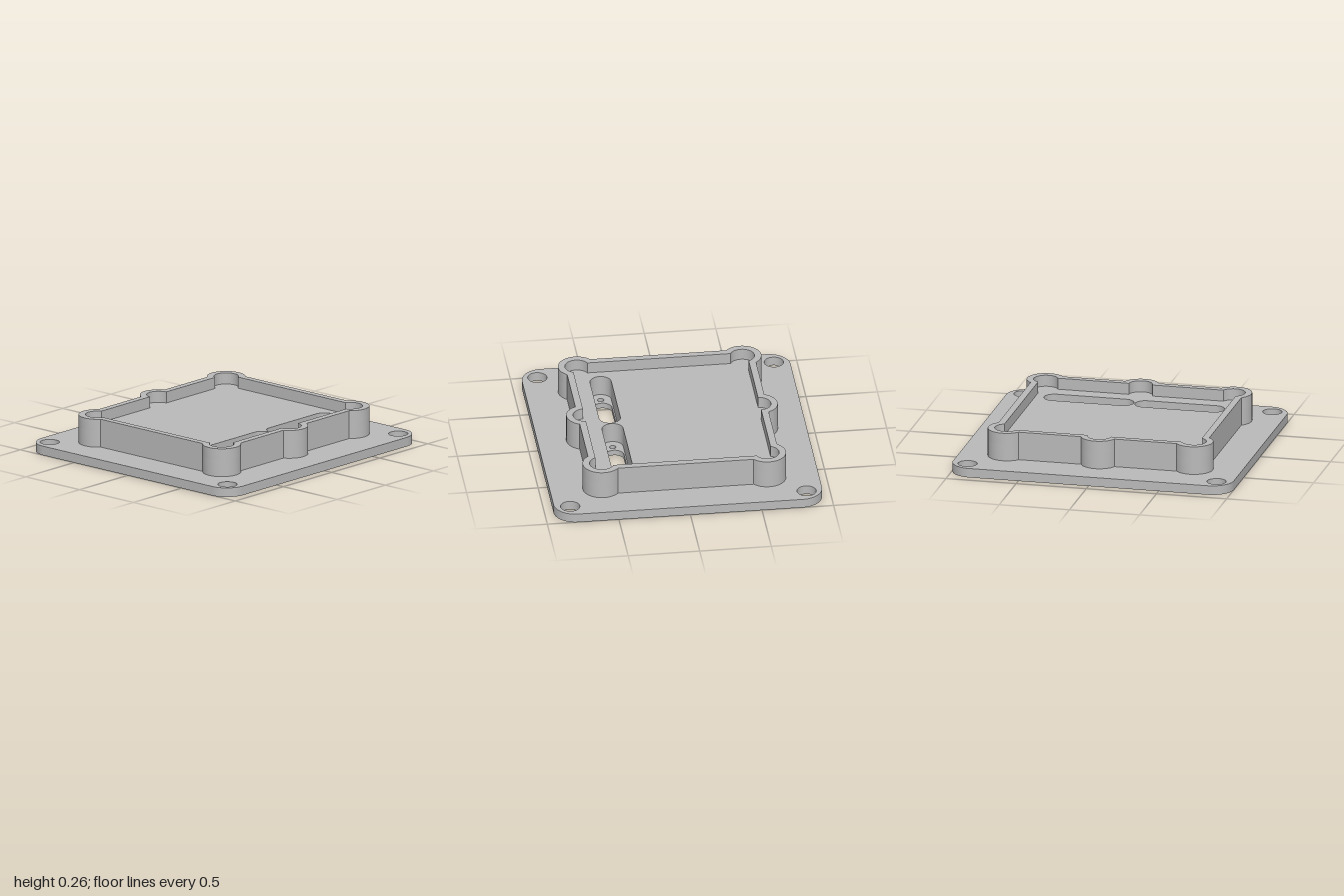
import * as THREE from 'three';
import { toCreasedNormals } from 'three/addons/utils/BufferGeometryUtils.js';

const Y = { lip: 0.04, plate: 0.065, floor: 0.185, top: 0.265 };
const BOSS = { x: 0.667, z: 0.577, midZ: 0.607 };
const SLOT = { x: 0.324, z: 0.425, screw: 0.244 };

// Plan shapes are drawn with shape y = -z
const fill = (path) => new THREE.Shape(path.getPoints(12));

function circle(x, z, r) {
  return new THREE.Path().absarc(x, -z, r, 0, Math.PI * 2, true);
}

// Slot with round ends
function stadium(x, z, half, r) {
  const p = new THREE.Path();
  p.absarc(x + half - r, -z, r, -Math.PI / 2, Math.PI / 2, false);
  p.absarc(x - half + r, -z, r, Math.PI / 2, Math.PI * 1.5, false);
  p.closePath();
  return p;
}

function roundedRect(hx, hz, r) {
  const p = new THREE.Path();
  [[1, 1], [-1, 1], [-1, -1], [1, -1]].forEach(([sx, sy], i) => {
    p.absarc(sx * (hx - r), sy * (hz - r), r, i * Math.PI / 2, (i + 1) * Math.PI / 2, false);
  });
  p.closePath();
  return p;
}

// Rectangle with round bulges at the four corners and mid front and back
function bossOutline(hx, hz, cornerR, midR) {
  const p = new THREE.Path();
  const ax = Math.acos((hx - BOSS.x) / cornerR);  // meets the side wall
  const az = Math.asin((hz - BOSS.z) / cornerR);  // meets the end wall
  const am = Math.asin((hz - BOSS.midZ) / midR);
  for (const turn of [0, Math.PI]) {
    const s = turn ? -1 : 1;
    p.absarc(s * BOSS.x, s * BOSS.z, cornerR, turn - ax, turn + Math.PI - az, false);
    p.absarc(0, s * BOSS.midZ, midR, turn + am, turn + Math.PI - am, false);
    p.absarc(-s * BOSS.x, s * BOSS.z, cornerR, turn + az, turn + Math.PI + ax, false);
  }
  p.closePath();
  return p;
}

export function createModel() {
  const group = new THREE.Group();
  const grey = new THREE.MeshStandardMaterial({ color: 0xbababa });
  grey.name = 'grey';

  // Extrudes a plan outline with holes from y0 up to y1
  function layer(name, outline, holes, y0, y1) {
    const shape = fill(outline);
    shape.holes.push(...holes);
    const geo = new THREE.ExtrudeGeometry(shape, { depth: y1 - y0, bevelEnabled: false, curveSegments: 20 });
    geo.rotateX(-Math.PI / 2).translate(0, y0, 0);
    const mesh = new THREE.Mesh(toCreasedNormals(geo, 0.6), grey);
    mesh.name = name;
    group.add(mesh);
  }

  const mountingHoles = () => [-1, 1].flatMap((x) =>
    [-1, 1].map((z) => circle(x * 0.887, z * 0.826, 0.067)));
  const pockets = () => [-1, 1].map((s) => stadium(s * SLOT.x, SLOT.z, 0.319, 0.074));
  const cutouts = () => [-1, 1].flatMap((s) => [
    stadium(s * SLOT.x, SLOT.z, 0.2, 0.065),
    circle(s * SLOT.x - SLOT.screw, SLOT.z, 0.022),
    circle(s * SLOT.x + SLOT.screw, SLOT.z, 0.022),
  ]);
  const plate = () => roundedRect(1, 0.9375, 0.15);
  const body = () => bossOutline(0.751, 0.66, 0.133, 0.131);

  // Base flange: thin lip around the connector cutouts, pockets above it
  layer('baseLip', plate(), [...mountingHoles(), ...cutouts()], 0, Y.lip);
  layer('basePlate', plate(), [...mountingHoles(), ...pockets()], Y.lip, Y.plate);
  // Raised body with connector pockets
  layer('raisedBody', body(), pockets(), Y.plate, Y.floor);
  // Rim wall around the recessed floor
  layer('rimWall', body(), [bossOutline(0.703, 0.612, 0.085, 0.084)], Y.floor, Y.top);

  return group;
}
